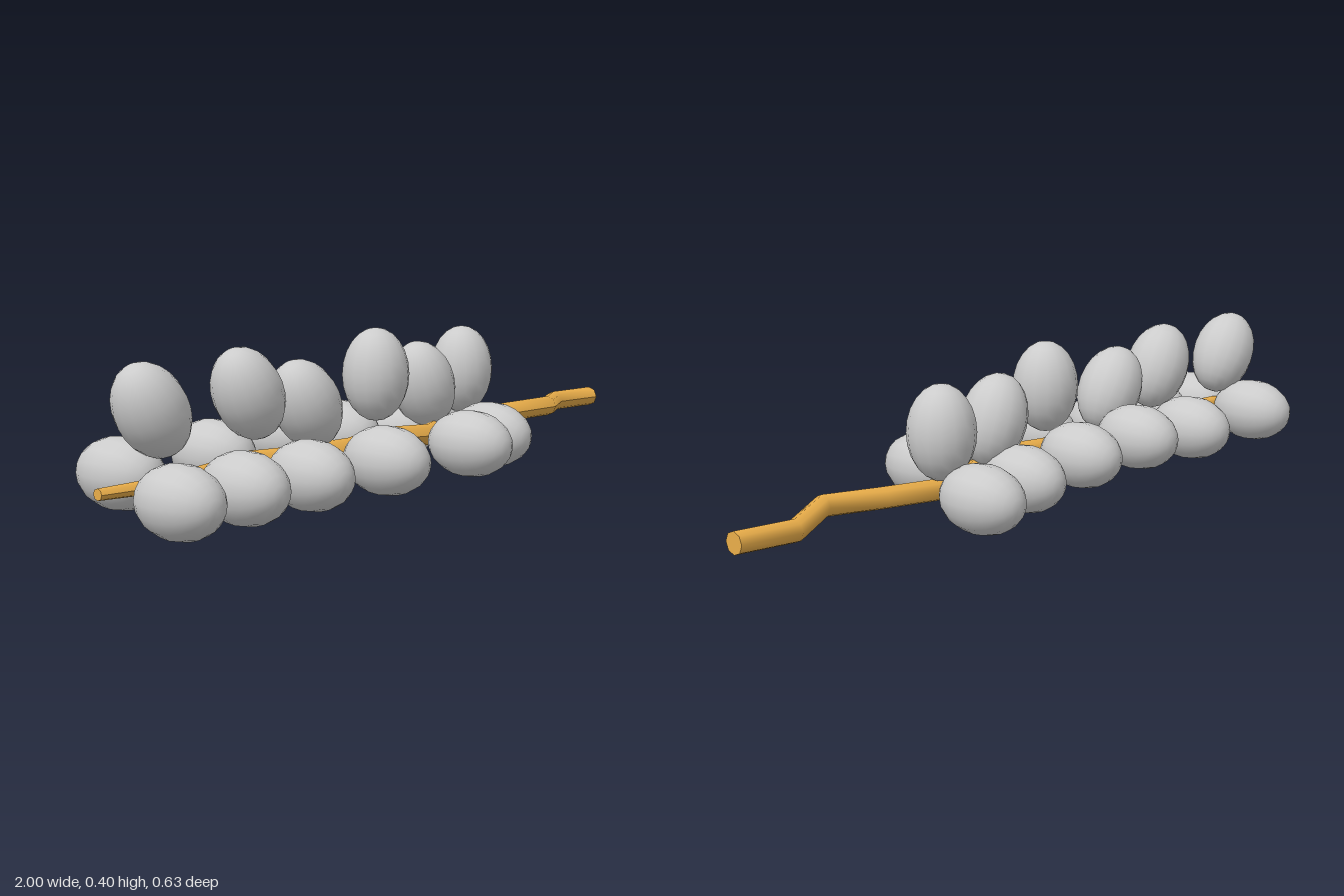
import * as THREE from 'three';

const grey = new THREE.MeshStandardMaterial({ color: 0xcccccc });
const wood = new THREE.MeshStandardMaterial({ color: 0xeaae4a });

// Kinked stem: evenly spaced stations along x with their y and z, thinner at the left tip
function createStem() {
  const ys = [0.108, 0.113, 0.117, 0.113, 0.11, 0.114, 0.117, 0.113, 0.11, 0.105, 0.111, 0.116, 0.106, 0.106];
  const zs = [-0.025, 0.018, 0.01, -0.035, 0, 0.035, 0, 0.05, -0.025, -0.058, -0.03, 0.01, -0.073, -0.047];
  const last = zs.length - 1;
  const geo = new THREE.CylinderGeometry(1, 1, 2, 8, last);
  geo.rotateZ(-Math.PI / 2);
  const pos = geo.attributes.position;
  for (let i = 0; i < pos.count; i++) {
    const t = (pos.getX(i) + 1) / 2;
    const k = Math.round(t * last);
    const r = Math.min(0.028, 0.014 + t * 0.06);
    pos.setY(i, ys[k] + pos.getY(i) * r);
    pos.setZ(i, zs[k] + pos.getZ(i) * r);
  }
  geo.computeVertexNormals();
  const stem = new THREE.Mesh(geo, wood);
  stem.name = 'stem';
  return stem;
}

// Egg-shaped pods: [x, y, z, lean in degrees]
const frontPods = [
  [-0.9, 0.095, 0.13, 3], [-0.715, 0.1, 0.147, 3], [-0.475, 0.093, 0.13, 3],
  [-0.25, 0.103, 0.177, 0], [0.07, 0.105, 0.192, 0], [0.23, 0.104, 0.14, 0],
];
const backPods = [
  [-0.83, 0.118, -0.14, 0], [-0.52, 0.12, -0.15, 0], [-0.285, 0.135, -0.15, 0],
  [-0.075, 0.12, -0.13, 0], [0.14, 0.097, -0.125, 0], [0.37, 0.105, -0.2, 0],
];
const topPods = [
  [-0.83, 0.275, -0.032, 30], [-0.52, 0.28, -0.03, 27], [-0.345, 0.238, -0.002, 30],
  [-0.08, 0.285, 0, 0], [0.14, 0.235, -0.02, 20], [0.375, 0.25, -0.068, 0],
];

export function createModel() {
  const model = new THREE.Group();
  model.name = 'podStem';
  model.add(createStem());

  const podGeo = new THREE.SphereGeometry(1, 16, 12);
  podGeo.scale(0.087, 0.121, 0.087);

  // One row of pods, tipped about x so the long axis points away from the stem
  const addRow = (name, list, tip) => {
    const row = new THREE.Group();
    row.name = name + 'Pods';
    list.forEach(([x, y, z, lean], i) => {
      const pod = new THREE.Mesh(podGeo, grey);
      pod.name = `${name}Pod${i + 1}`;
      pod.position.set(x, y, z);
      pod.rotation.set(tip, 0, THREE.MathUtils.degToRad(lean));
      row.add(pod);
    });
    model.add(row);
  };
  addRow('front', frontPods, Math.PI / 2);
  addRow('back', backPods, -Math.PI / 2);
  addRow('top', topPods, 0);
  return model;
}
